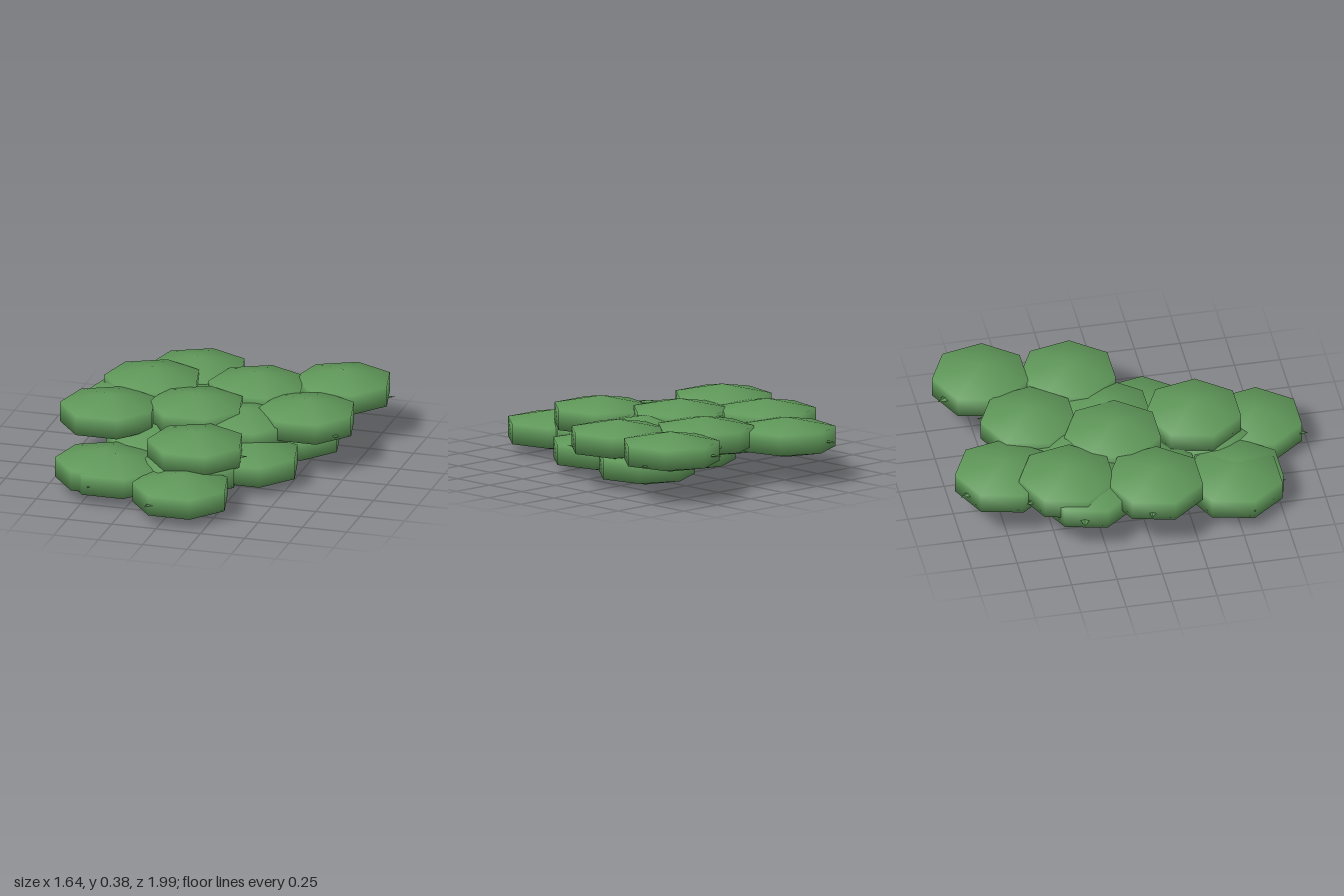
import * as THREE from 'three';

export function createModel() {
  const group = new THREE.Group();
  group.name = 'leafCluster';
  const leafGreen = new THREE.MeshStandardMaterial({ color: 0x5f9759 });
  leafGreen.name = 'leafGreen';

  // Flattened seven-sided clump: one corner at the back, flat edge at the front
  const clumpGeo = new THREE.SphereGeometry(1, 7, 3);
  clumpGeo.rotateY(-Math.PI / 2);
  clumpGeo.scale(0.308, 0.11, 0.308);

  const addClumps = (name, places) => places.forEach(([x, y, z]) => {
    const clump = new THREE.Mesh(clumpGeo, leafGreen);
    clump.name = name;
    clump.position.set(x, y, z);
    group.add(clump);
  });

  addClumps('upperClump', [
    [-0.28, 0.23, -0.73], [0.55, 0.257, -0.69], [0.12, 0.257, -0.51],
    [-0.44, 0.265, -0.41], [0.49, 0.25, -0.22], [-0.10, 0.265, -0.09],
    [-0.55, 0.265, 0.05], [0.04, 0.235, 0.38],
  ]);
  addClumps('middleClump', [
    [-0.49, 0.22, -0.31], [0.17, 0.21, -0.09], [-0.13, 0.2, -0.33],
  ]);
  addClumps('lowerClump', [
    [0.06, 0.112, 0.72], [-0.44, 0.125, 0.51], [-0.37, 0.115, 0.53],
    [0.28, 0.11, 0.14], [-0.28, 0.125, 0.08], [0.38, 0.11, -0.32],
    [-0.06, 0.11, -0.18], [0.02, 0.13, 0.41],
  ]);

  // Small leaf tips poking out: tip position and the direction it points in the ground plane
  const tipGeo = new THREE.ConeGeometry(0.07, 0.14, 4);
  tipGeo.rotateX(Math.PI / 2);
  tipGeo.translate(0, 0, -0.07);
  tipGeo.scale(1, 0.3, 1);
  [
    [-0.40, 0.22, -0.99, -0.4, -1], [0.42, 0.25, -0.95, -0.5, -1],
    [0.82, 0.215, -0.75, 1, -0.3], [0.71, 0.22, -0.05, 0.8, 0.8],
    [0.25, 0.24, -0.77, 0.4, -1], [-0.56, 0.24, -0.66, -0.5, -1],
    [-0.77, 0.21, -0.38, -1, -0.2], [-0.82, 0.25, -0.02, -1, -0.3],
    [-0.71, 0.12, 0.57, -1, 0.1], [-0.45, 0.11, 0.79, 0, 1],
    [-0.07, 0.115, 0.99, -0.5, 1], [0.31, 0.2, 0.31, 1, -0.3],
    [-0.33, 0.12, 0.37, -0.2, 1],
  ].forEach(([x, y, z, dx, dz]) => {
    const tip = new THREE.Mesh(tipGeo, leafGreen);
    tip.name = 'leafTip';
    tip.position.set(x, y, z);
    tip.rotation.y = Math.atan2(dx, dz);
    group.add(tip);
  });
  return group;
}
